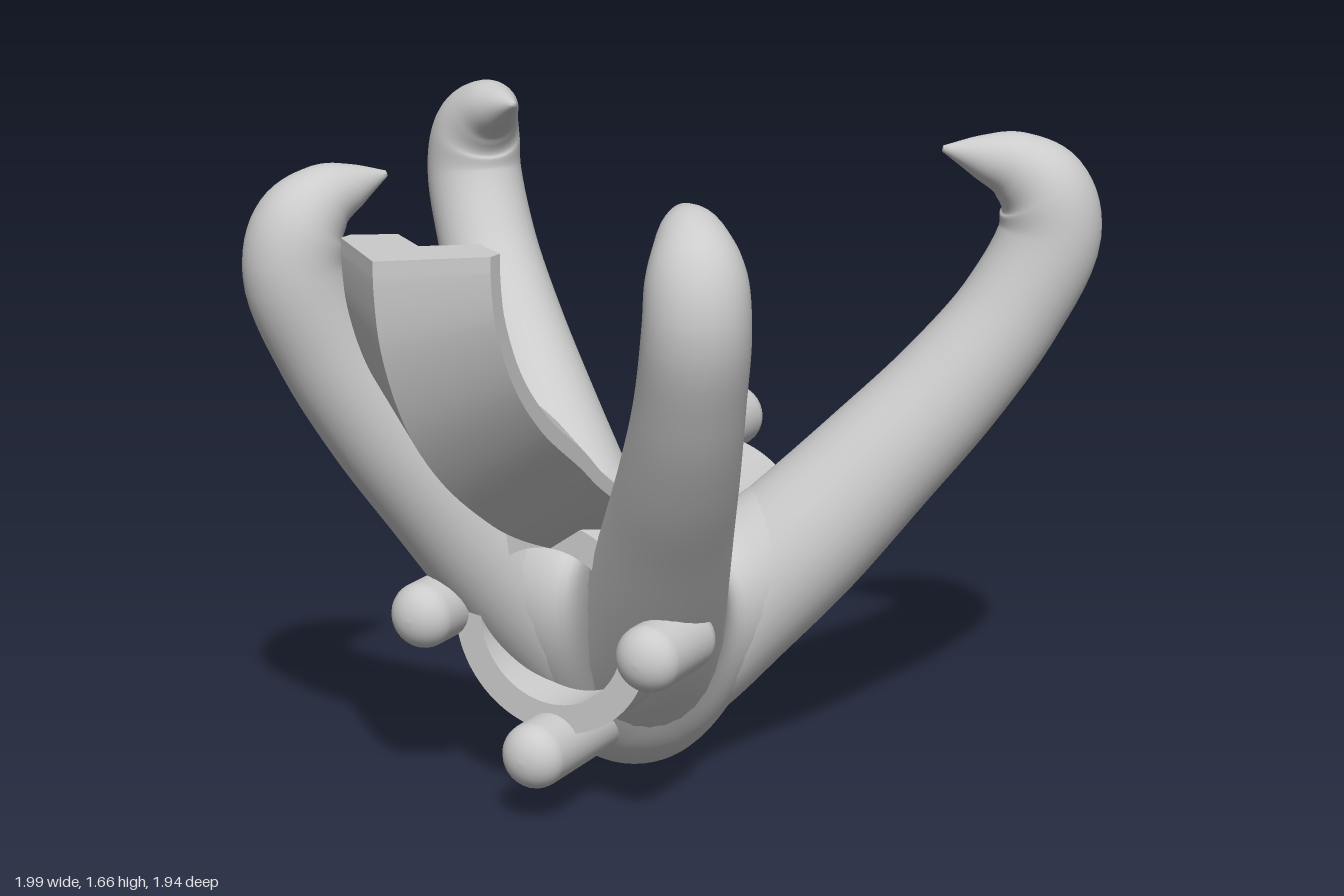
import * as THREE from 'three';
import { mergeVertices, toCreasedNormals } from 'three/addons/utils/BufferGeometryUtils.js';

const HUB = new THREE.Vector3(0, 0.25, -0.22);
const material = new THREE.MeshStandardMaterial({ color: 0xcccccc, side: THREE.DoubleSide });

function add(group, name, geometry, x = 0, y = 0, z = 0) {
  const mesh = new THREE.Mesh(geometry, material);
  mesh.name = name;
  mesh.position.set(x, y, z);
  group.add(mesh);
}

// Sweeps a section along points [r, y, size] lying in the upright plane through direction u
function loft(points, u, steps, section) {
  const curve = new THREE.CatmullRomCurve3(points.map(p => new THREE.Vector3(...p)));
  const across = new THREE.Vector3(0, 1, 0).cross(u);
  const pos = [], index = [];
  let n = 0;
  for (let i = 0; i <= steps; i++) {
    const p = curve.getPoint(i / steps);
    const a = curve.getPoint(Math.max(0, i / steps - 0.004));
    const t = curve.getPoint(Math.min(1, i / steps + 0.004)).sub(a).setZ(0).normalize();
    const ring = section(p.z);
    n = ring.length;
    for (const [s, h] of ring) {
      const r = p.x - t.y * h;
      pos.push(across.x * s + u.x * r, p.y + t.x * h, across.z * s + u.z * r);
    }
  }
  for (let i = 0; i < steps; i++) for (let j = 0; j < n; j++) {
    const a = i * n + j, b = i * n + (j + 1) % n;
    index.push(a, b, b + n, a, b + n, a + n);
  }
  const e = steps * n;
  for (let k = 1; k < n - 1; k++) index.push(0, k + 1, k, e, e + k, e + k + 1);
  const geo = new THREE.BufferGeometry();
  geo.setAttribute('position', new THREE.Float32BufferAttribute(pos, 3));
  geo.setIndex(index);
  geo.computeVertexNormals();
  return geo;
}

// Moves every vertex by a rule
function reshape(geo, rule) {
  const p = geo.attributes.position, v = new THREE.Vector3();
  for (let i = 0; i < p.count; i++) {
    rule(v.fromBufferAttribute(p, i));
    p.setXYZ(i, v.x, v.y, v.z);
  }
  geo.computeVertexNormals();
  return geo;
}

// Hooked arm: thick at the root, radius shrinking to a point at the tip
const ARM = [
  [0.02, 0.27, 0.22], [0.1, 0.33, 0.213], [0.22, 0.445, 0.197], [0.37, 0.607, 0.177], [0.53, 0.8, 0.159],
  [0.69, 1.0, 0.143], [0.82, 1.2, 0.13], [0.9, 1.4, 0.125], [0.88, 1.51, 0.116], [0.82, 1.572, 0.088],
  [0.745, 1.6, 0.055], [0.66, 1.622, 0.008],
];
const circle = r => Array.from({ length: 32 }, (_, i) => {
  const a = i / 32 * Math.PI * 2;
  return [r * Math.cos(a), r * Math.sin(a)];
});

// Hub: a sphere pushed out onto the soft union of the four arm roots
function hubGeometry(dirs) {
  const roots = dirs.map(([u, s]) => new THREE.Vector3(u.x * 0.44 * s, 0.44, u.z * 0.44 * s));
  const q = new THREE.Vector3();
  const field = p => {
    let sum = 0;
    for (const b of roots) {
      const h = THREE.MathUtils.clamp(p.dot(b) / b.lengthSq(), 0, 1);
      const radius = 0.165 - 0.008 * h + 0.1 * h * (1 - h);
      sum += Math.exp((radius - q.copy(b).multiplyScalar(h).distanceTo(p)) / 0.058);
    }
    return -0.058 * Math.log(sum);
  };
  const ball = new THREE.SphereGeometry(1, 96, 72);
  ball.deleteAttribute('uv');
  ball.deleteAttribute('normal');
  const p = new THREE.Vector3();
  return reshape(mergeVertices(ball), v => {
    let t = 0.9;
    while (t > 0.02 && field(p.copy(v).multiplyScalar(t)) > 0) t -= 0.01;
    let lo = t, hi = t + 0.01;
    for (let i = 0; i < 8; i++) {
      const m = (lo + hi) / 2;
      if (field(p.copy(v).multiplyScalar(m)) > 0) hi = m; else lo = m;
    }
    v.multiplyScalar(lo);
  });
}

// Slanted inner ends of the two collars, following the bowl between the arms
const frontInner = y => -0.2 + Math.max(0, y) * 0.6;
const backInner = y => -0.24 - Math.max(0, y) * 0.65;

function collar(z0, z1) {
  const shape = new THREE.Shape().absarc(0, 0, 0.28, 0, Math.PI * 2);
  shape.holes.push(new THREE.Path().absarc(0, 0, 0.205, 0, Math.PI * 2, true));
  const geo = new THREE.ExtrudeGeometry(shape, { depth: 1, bevelEnabled: false, curveSegments: 48 });
  return toCreasedNormals(reshape(geo, v => { v.z = v.z < 0.5 ? z0(v.y) : z1(v.y); }), 0.6);
}

// Round-ended pin lying along z
function pin(z0, z1) {
  const end = [];
  for (let i = 0; i <= 8; i++) {
    const a = i / 8 * Math.PI / 2;
    end.push([0.085 * Math.sin(a), 0.07 * (1 - Math.cos(a))]);
  }
  const pts = end.map(([r, d]) => new THREE.Vector2(r, z0 + d));
  for (const [r, d] of end.reverse()) pts.push(new THREE.Vector2(r, z1 - d));
  return new THREE.LatheGeometry(pts, 28).rotateX(Math.PI / 2);
}

export function createModel() {
  const model = new THREE.Group();
  model.name = 'clawedHolder';

  // Arms, front pair and longer back pair
  const dirs = [];
  for (const side of [1, -1]) {
    dirs.push([new THREE.Vector3(0.615 * side, 0, 0.788), 1, 'frontArm']);
    dirs.push([new THREE.Vector3(0.815 * side, 0, -0.58), 1.18, 'backArm']);
  }
  for (const [u, s, name] of dirs) {
    const path = ARM.map(([r, y, w]) => [r * s, y, w * (s > 1 && y > 0.5 ? 1.05 : 1)]);
    add(model, (u.x > 0 ? 'left ' : 'right ') + name, loft(path, u, 72, circle), 0, 0, HUB.z);
  }
  add(model, 'hub', hubGeometry(dirs), HUB.x, HUB.y, HUB.z);

  // Curved rail with a keel below and a notch above, thinning into the front collar
  const rail = [[0.05, 0.645, 0.6], [0.21, 0.705, 0.75], [0.38, 0.78, 0.9], [0.5, 0.85, 1],
    [0.7, 1.0, 1], [0.85, 1.17, 1], [0.945, 1.37, 1], [0.97, 1.52, 1], [0.97, 1.58, 1]];
  const section = k => [[0, 0], [0.2, 0.17], [0.2, 0.21], [0.11, 0.27], [0, 0.185],
    [-0.11, 0.27], [-0.2, 0.21], [-0.2, 0.17]].map(([s, h]) => [s, h * k]);
  add(model, 'rail', toCreasedNormals(loft(rail, new THREE.Vector3(0, 0, 1), 40, section), 0.75));

  // Collars front and back, the back one closed by a domed plug
  add(model, 'frontCollar', collar(frontInner, () => 0.21), 0, 0.5, 0);
  add(model, 'backCollar', collar(() => -0.68, backInner), 0, 0.5, 0);
  const plug = new THREE.SphereGeometry(0.23, 40, 24).rotateX(Math.PI / 2);
  reshape(plug, v => { v.z = v.z > 1e-5 ? backInner(v.y) - 0.003 : -0.44 + v.z * 0.55; });
  add(model, 'backPlug', toCreasedNormals(plug, 0.6), 0, 0.5, 0);

  // Pins around the collars; the upper one is cut to the slope of the bowl
  add(model, 'lowerPin', pin(-0.83, 0.36), 0, 0.185, 0);
  const upper = reshape(pin(-0.83, -0.42), v => { if (v.z > -0.6) v.z = -0.49 - v.y * 0.75; });
  add(model, 'upperBackPin', toCreasedNormals(upper, 0.6), 0, 0.815, 0);
  for (const side of [1, -1]) {
    add(model, 'frontSidePin', pin(0.05, 0.36), 0.325 * side, 0.5, 0);
    add(model, 'backSidePin', pin(-0.83, -0.5), 0.325 * side, 0.5, 0);
  }
  return model;
}
